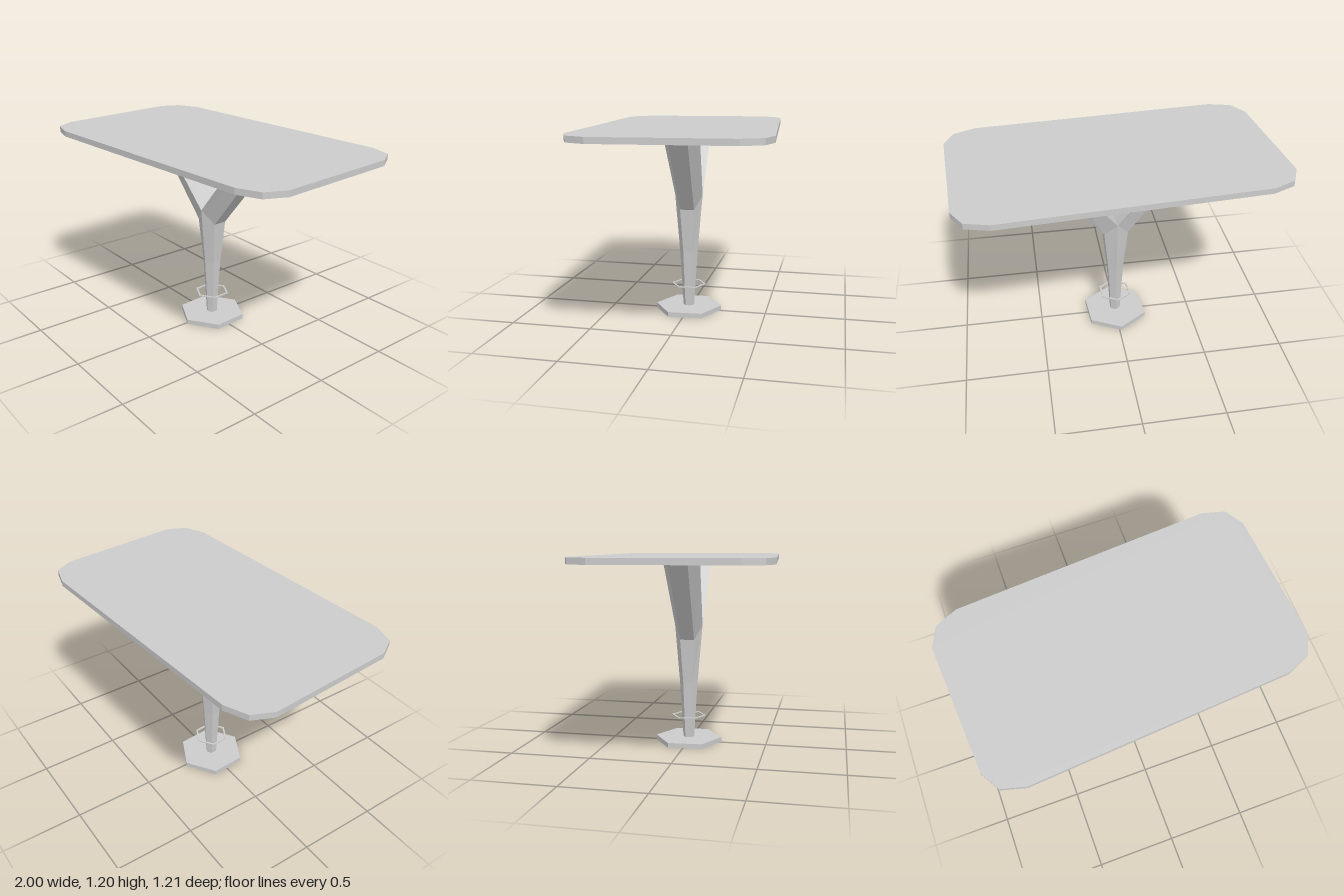
import * as THREE from 'three';

const material = new THREE.MeshStandardMaterial({ color: 0xcccccc, flatShading: true });
const TURN = THREE.MathUtils.degToRad(26.5);

// Hexagon corners as [x, z], turned slightly about the vertical axis
function hexagon(r) {
  return Array.from({ length: 6 }, (_, i) => {
    const a = TURN + (i * Math.PI) / 3;
    return [r * Math.cos(a), r * Math.sin(a)];
  });
}

// Horizontal plate from an [x, z] outline, with an optional hole
function plate(name, outline, bottom, top, hole) {
  const toPoints = (list) => list.map(([x, z]) => new THREE.Vector2(x, z));
  const shape = new THREE.Shape(toPoints(outline));
  if (hole) shape.holes.push(new THREE.Path(toPoints(hole)));
  const geometry = new THREE.ExtrudeGeometry(shape, { depth: top - bottom, bevelEnabled: false });
  geometry.rotateX(Math.PI / 2).translate(0, top, 0);
  const mesh = new THREE.Mesh(geometry, material);
  mesh.name = name;
  return mesh;
}

// Open-ended skin through loops of [x, y, z] corners, lowest loop first
function loft(name, loops) {
  const n = loops[0].length;
  const index = [];
  for (let k = 0; k < loops.length - 1; k++) {
    for (let i = 0; i < n; i++) {
      const a = k * n + i;
      const b = k * n + ((i + 1) % n);
      index.push(a, a + n, b, b, a + n, b + n);
    }
  }
  let geometry = new THREE.BufferGeometry();
  geometry.setAttribute('position', new THREE.Float32BufferAttribute(loops.flat(2), 3));
  geometry.setIndex(index);
  geometry = geometry.toNonIndexed();
  geometry.computeVertexNormals();
  const mesh = new THREE.Mesh(geometry, material);
  mesh.name = name;
  return mesh;
}

export function createModel() {
  const model = new THREE.Group();
  model.name = 'table';

  // Table top: half the outline, repeated by a half turn
  const half = [[1, 0.315], [0.945, 0.437], [0.81, 0.497], [-0.735, 0.607], [-0.875, 0.57], [-0.943, 0.457]];
  const outline = [...half, ...half.map(([x, z]) => [-x, -z])];
  model.add(plate('tableTop', outline, 1.16, 1.195));

  // Foot and the thin ring around the stem
  model.add(plate('foot', hexagon(0.212), 0, 0.03, hexagon(0.035)));
  model.add(plate('stemRing', hexagon(0.11), 0.167, 0.173, hexagon(0.097)));

  // Stem, flaring up to the fork; front and back corners rise into the crotch
  const level = (r, y) => hexagon(r).map(([x, z]) => [x, y, z]);
  const fork = hexagon(0.088).map(([x, z], i) => [x, i % 3 === 1 ? 0.755 : 0.67, z]);
  model.add(loft('stem', [level(0.035, 0.03), level(0.057, 0.39), fork]));

  // Two branches, one a half turn from the other
  const branchStart = [fork[4], fork[5], fork[0], fork[1]];
  const branchEnd = [[0.325, 1.16, -0.135], [0.465, 1.16, -0.09], [0.475, 1.16, 0.025], [0.345, 1.16, 0.08]];
  const leftBranch = loft('leftBranch', [branchStart, branchEnd]);
  const rightBranch = leftBranch.clone();
  rightBranch.name = 'rightBranch';
  rightBranch.rotation.y = Math.PI;
  model.add(leftBranch, rightBranch);

  return model;
}
